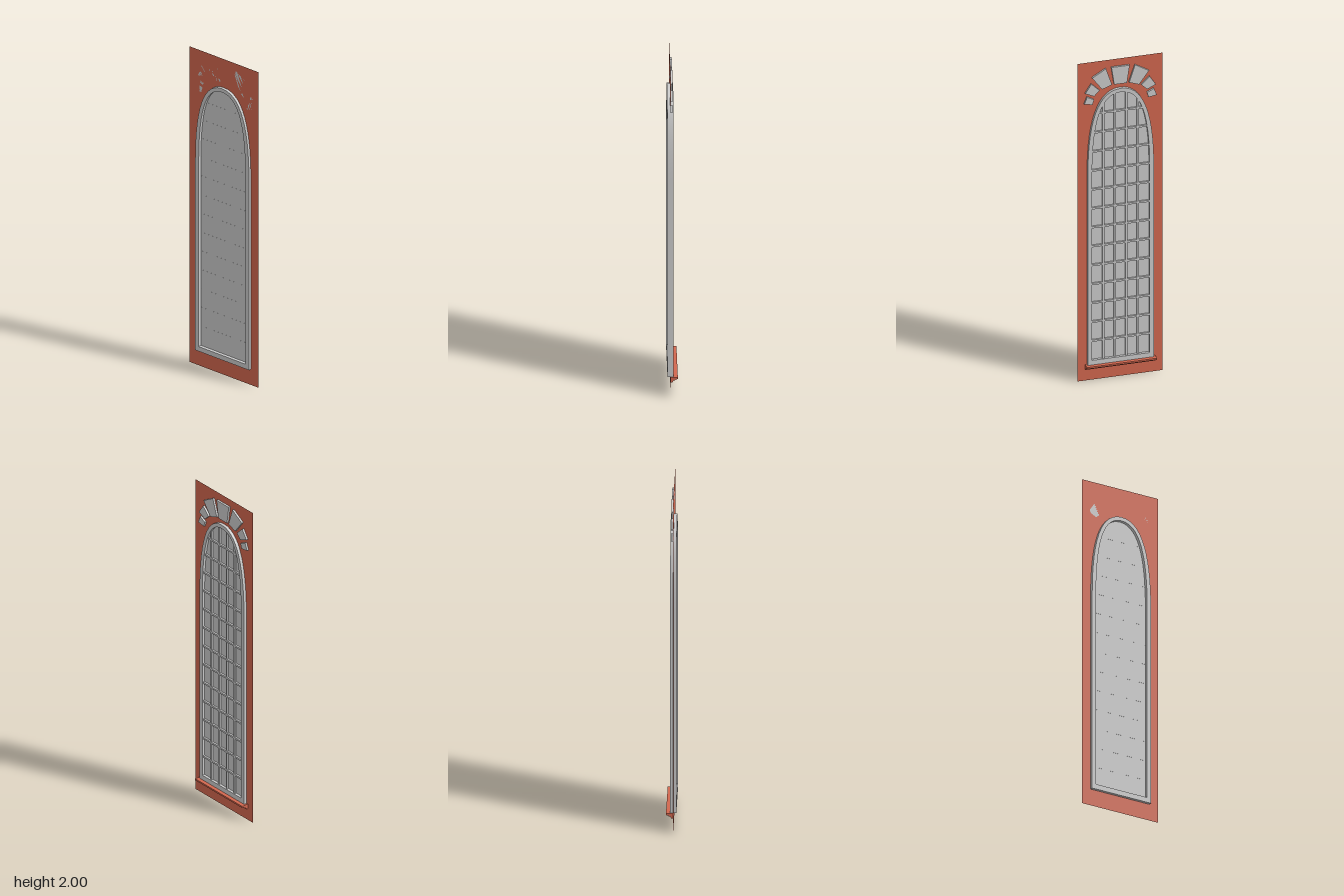
import * as THREE from 'three';
import { toCreasedNormals } from 'three/addons/utils/BufferGeometryUtils.js';

const grey = new THREE.MeshStandardMaterial({ color: 0xcccccc });
const greySheet = new THREE.MeshStandardMaterial({ color: 0xcccccc, side: THREE.DoubleSide });
const brick = new THREE.MeshStandardMaterial({ color: 0xd2674f });
const brickSheet = new THREE.MeshStandardMaterial({ color: 0xd2674f, side: THREE.DoubleSide });

const WALL_X = -0.013;
const SEGMENTS = 14;

// Arched window outline, wound counter-clockwise
function archPath(Type, halfWidth, bottom, top) {
  const p = new Type();
  const spring = 1.3, shoulder = 1.62, crown = halfWidth * 0.72;
  p.moveTo(-halfWidth, bottom);
  p.lineTo(halfWidth, bottom);
  p.lineTo(halfWidth, spring);
  p.bezierCurveTo(halfWidth, shoulder, crown, top, 0, top);
  p.bezierCurveTo(-crown, top, -halfWidth, shoulder, -halfWidth, spring);
  p.lineTo(-halfWidth, bottom);
  return p;
}

const outer = Type => archPath(Type, 0.193, 0.1, 1.82);
const inner = Type => archPath(Type, 0.168, 0.13, 1.797);

export function createModel() {
  const model = new THREE.Group();

  // Shapes are drawn facing the viewer, then turned so their depth runs along +x
  function add(name, geometry, material, x) {
    geometry.rotateY(Math.PI / 2).translate(x, 0, 0);
    const mesh = new THREE.Mesh(geometry, material);
    mesh.name = name;
    model.add(mesh);
    return mesh;
  }
  const extrude = (shape, depth) => toCreasedNormals(
    new THREE.ExtrudeGeometry(shape, { depth, bevelEnabled: false, curveSegments: SEGMENTS }), 0.5);

  // Thin wall sheet with the window opening cut out
  const wall = new THREE.Shape([[-0.248, 0], [0.248, 0], [0.248, 2], [-0.248, 2]]
    .map(([a, b]) => new THREE.Vector2(a, b)));
  wall.holes.push(outer(THREE.Path));
  add('wall', new THREE.ShapeGeometry(wall, SEGMENTS), brickSheet, WALL_X);

  // Deep arched frame
  const frame = outer(THREE.Shape);
  frame.holes.push(inner(THREE.Path));
  add('windowFrame', extrude(frame, 0.035), grey, -0.03);

  // Window pane
  add('pane', new THREE.ShapeGeometry(inner(THREE.Shape), SEGMENTS), greySheet, -0.011);

  // Glazing bars, trimmed to the arch
  const edge = inner(THREE.Shape).getPoints(SEGMENTS).filter(p => p.x >= 0 && p.y > 0.14);
  edge.unshift(new THREE.Vector2(0.168, 0.13));
  function alongEdge(value, from, to) {
    for (let i = 0; i < edge.length - 1; i++) {
      const a = edge[i], b = edge[i + 1];
      if ((a[from] - value) * (b[from] - value) <= 0 && a[from] !== b[from]) {
        return a[to] + (b[to] - a[to]) * (value - a[from]) / (b[from] - a[from]);
      }
    }
    return edge[0][to];
  }
  const BAR = 0.011, BAR_DEPTH = 0.011, COLS = 5, ROWS = 14;
  for (let i = 1; i < COLS; i++) {
    const s = -0.168 + 0.336 * i / COLS;
    const top = alongEdge(Math.abs(s), 'x', 'y') + 0.004;
    const bar = new THREE.BoxGeometry(BAR, top - 0.125, BAR_DEPTH);
    add('verticalBar', bar.translate(s, (top + 0.125) / 2, 0), grey, -0.006);
  }
  for (let j = 1; j < ROWS; j++) {
    const y = 0.13 + 1.667 * j / ROWS;
    const half = alongEdge(y, 'y', 'x') + 0.003;
    const bar = new THREE.BoxGeometry(half * 2, BAR, BAR_DEPTH);
    add('horizontalBar', bar.translate(0, y, 0), grey, -0.006);
  }

  // Arch stones: a keystone and three mirrored pairs
  const stone = (name, corners) => {
    const shape = new THREE.Shape(corners.map(([a, b]) => new THREE.Vector2(a, b)));
    add(name, extrude(shape, 0.012), grey, WALL_X);
  };
  stone('keystone', [[-0.037, 1.846], [0.037, 1.846], [0.053, 1.955], [-0.053, 1.955]]);
  const sideStones = [
    [[0.05, 1.846], [0.108, 1.825], [0.166, 1.904], [0.085, 1.952]],
    [[0.122, 1.82], [0.155, 1.788], [0.206, 1.812], [0.17, 1.867]],
    [[0.155, 1.767], [0.164, 1.737], [0.212, 1.745], [0.195, 1.788]],
  ];
  for (const corners of sideStones) {
    stone('archStone', corners);
    stone('archStone', corners.map(([a, b]) => [-a, b]));
  }

  // Moulded sill, its profile swept along z
  const profile = [[-0.013, 0.072], [-0.002, 0.072], [0.003, 0.082], [0.014, 0.085],
    [0.016, 0.09], [0.028, 0.091], [0.028, 0.101], [-0.013, 0.101]];
  const sill = new THREE.Mesh(new THREE.ExtrudeGeometry(
    new THREE.Shape(profile.map(([a, b]) => new THREE.Vector2(a, b))),
    { depth: 0.408, bevelEnabled: false }).translate(0, 0, -0.204), brick);
  sill.name = 'sill';
  model.add(sill);

  return model;
}
